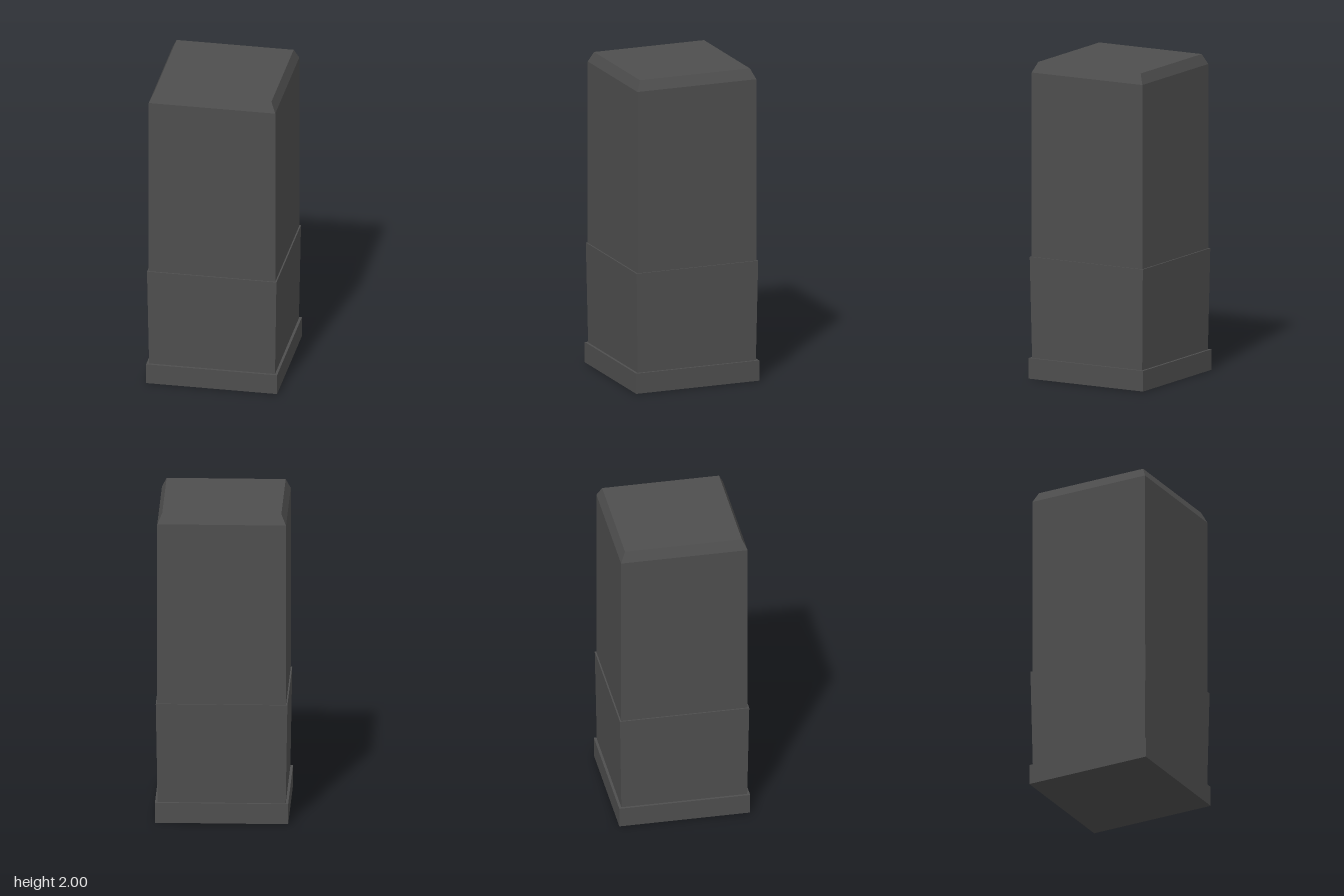
import * as THREE from 'three';

const charcoal = new THREE.MeshStandardMaterial({ name: 'charcoal', color: 0x4e4e4e });

// Square block given by half-widths at its bottom and top, with flat faces
function squareBlock(name, y0, y1, half0, half1, openEnded = false) {
  const cyl = new THREE.CylinderGeometry(
    half1 * Math.SQRT2, half0 * Math.SQRT2, y1 - y0, 4, 1, openEnded, Math.PI / 4);
  const geometry = cyl.toNonIndexed();
  geometry.computeVertexNormals();
  geometry.translate(0, (y0 + y1) / 2, 0);
  const mesh = new THREE.Mesh(geometry, charcoal);
  mesh.name = name;
  return mesh;
}

export function createModel() {
  const group = new THREE.Group();
  group.name = 'squareTower';
  group.add(
    squareBlock('basePlinth', 0, 0.13, 0.414, 0.414),
    // Lower storey flares slightly outward towards its ledge
    squareBlock('lowerBody', 0.13, 0.77, 0.398, 0.409),
    squareBlock('upperBody', 0.77, 1.935, 0.4, 0.4),
    // Bevelled roof edge with a flat top
    squareBlock('bevelledRoof', 1.935, 2, 0.4, 0.37),
  );
  return group;
}
